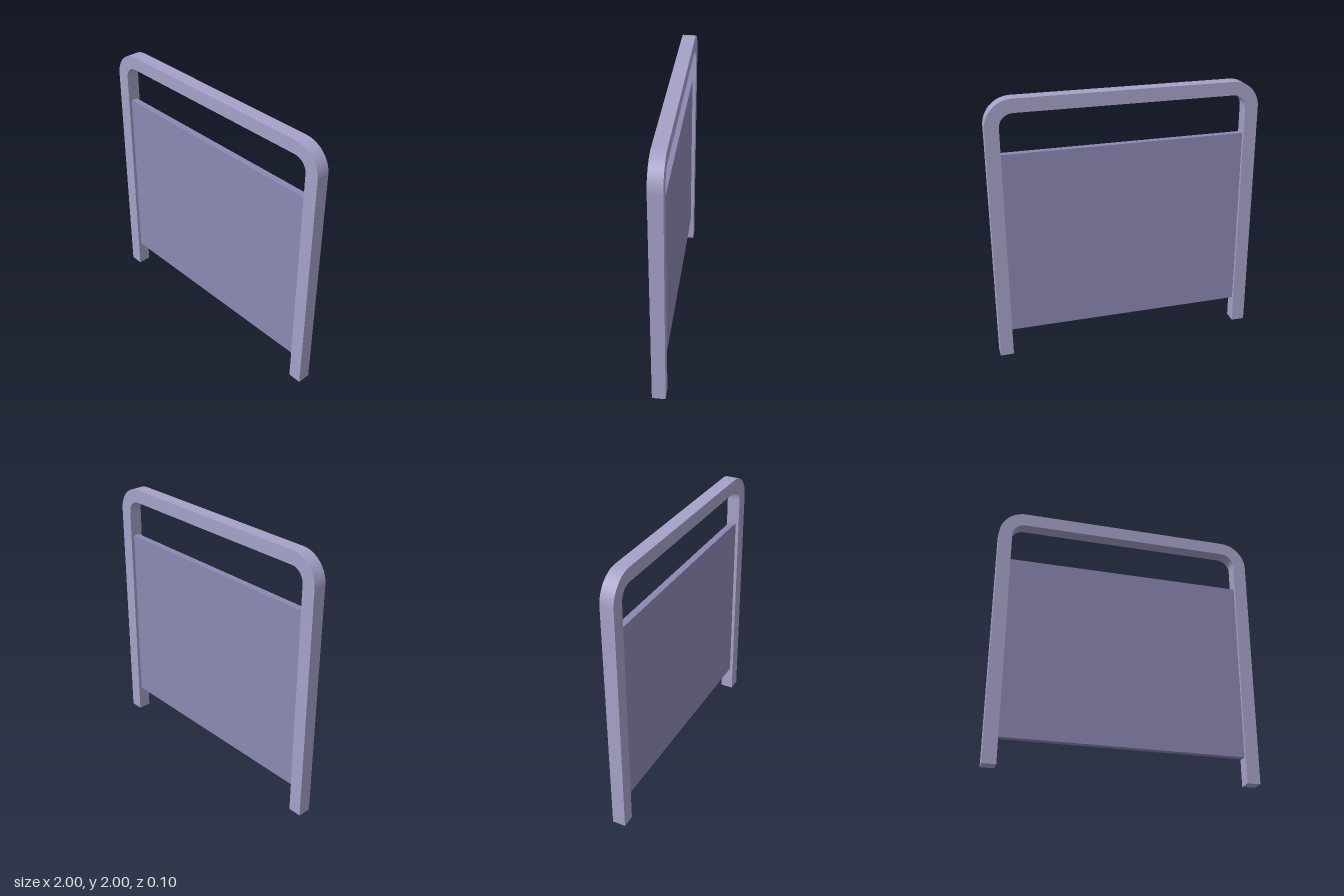
import * as THREE from 'three';

const W = 1, H = 2;          // half width and height of the frame
const BAR = 0.1;             // square bar size
const R = 0.2;               // outer bend radius
const PANEL_BOTTOM = 0.2, PANEL_TOP = 1.6, PANEL_DEPTH = 0.05;

export function createModel() {
  const model = new THREE.Group();
  model.name = 'panelFrame';

  // Bent square-bar frame: an upside-down U with concentric rounded corners
  const inner = W - BAR, cx = W - R, cy = H - R;
  const outline = new THREE.Shape();
  outline.moveTo(W, 0);
  outline.lineTo(W, cy);
  outline.absarc(cx, cy, R, 0, Math.PI / 2, false);
  outline.lineTo(-cx, H);
  outline.absarc(-cx, cy, R, Math.PI / 2, Math.PI, false);
  outline.lineTo(-W, 0);
  outline.lineTo(-inner, 0);
  outline.lineTo(-inner, cy);
  outline.absarc(-cx, cy, R - BAR, Math.PI, Math.PI / 2, true);
  outline.lineTo(cx, H - BAR);
  outline.absarc(cx, cy, R - BAR, Math.PI / 2, 0, true);
  outline.lineTo(inner, 0);
  outline.closePath();

  const frameGeometry = new THREE.ExtrudeGeometry(outline, {
    depth: BAR, bevelEnabled: false, curveSegments: 32,
  });
  frameGeometry.translate(0, 0, -BAR / 2);
  const frame = new THREE.Mesh(frameGeometry, new THREE.MeshStandardMaterial({ color: 0xa5a2c8 }));
  frame.name = 'frame';
  model.add(frame);

  // Flat infill panel held between the legs
  const panel = new THREE.Mesh(
    new THREE.BoxGeometry(2 * inner, PANEL_TOP - PANEL_BOTTOM, PANEL_DEPTH),
    new THREE.MeshStandardMaterial({ color: 0x8b88b2 }),
  );
  panel.position.y = (PANEL_TOP + PANEL_BOTTOM) / 2;
  panel.name = 'panel';
  model.add(panel);

  return model;
}
